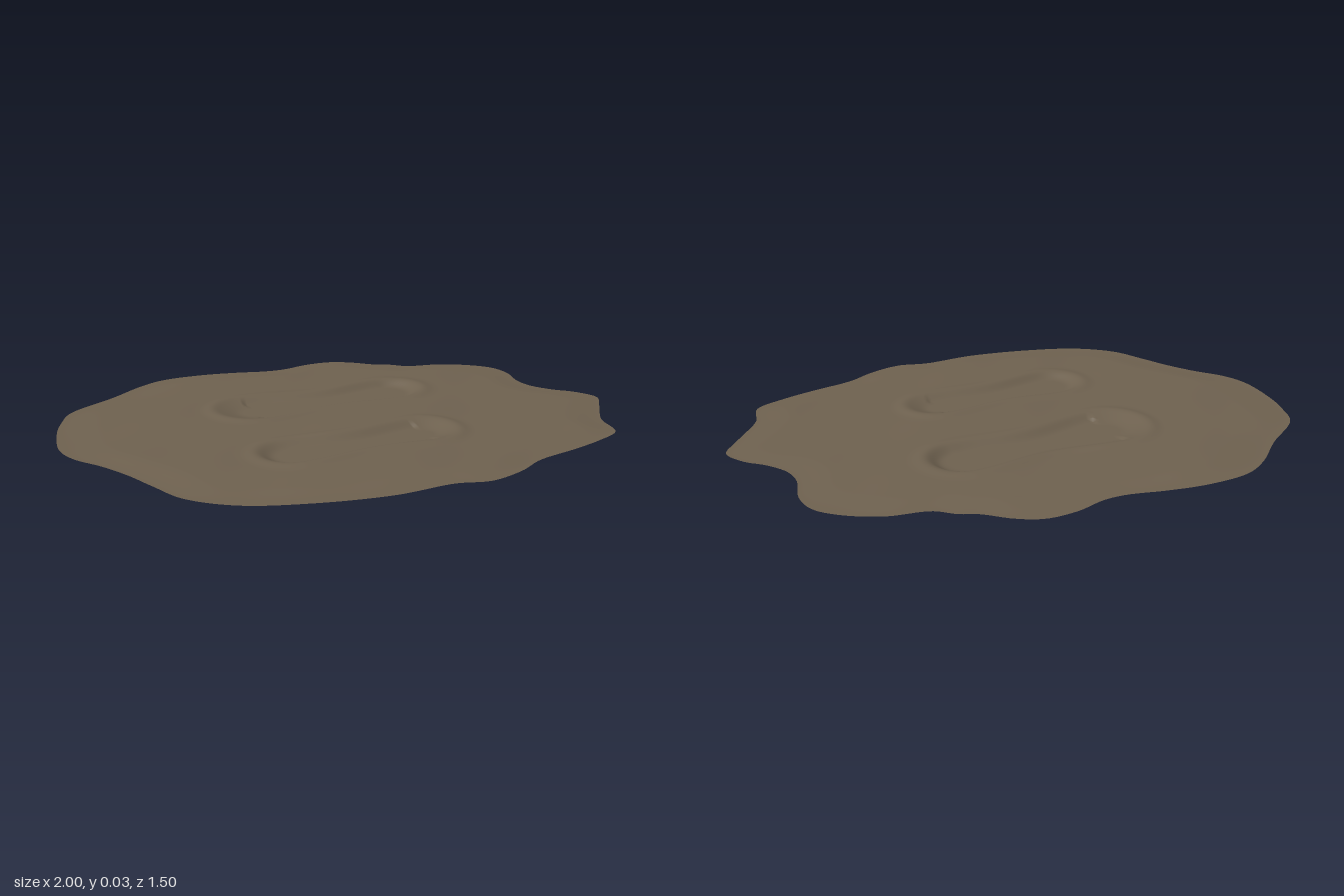
import * as THREE from 'three';

// Outline of the mud patch, as x, z pairs
const OUTLINE = [
  -0.32, -0.75, -0.18, -0.73, -0.05, -0.7, 0.03, -0.7, 0.14, -0.73, 0.25, -0.73,
  0.33, -0.69, 0.41, -0.62, 0.47, -0.59, 0.53, -0.54, 0.67, -0.51, 0.79, -0.44,
  0.85, -0.37, 0.865, -0.28, 0.84, -0.16, 0.85, -0.08, 0.9, 0, 0.96, 0.06,
  1, 0.15, 0.96, 0.22, 0.91, 0.29, 0.845, 0.39, 0.81, 0.515, 0.7, 0.57,
  0.57, 0.61, 0.41, 0.65, 0.3, 0.71, 0.17, 0.745, 0.06, 0.72, -0.15, 0.73,
  -0.4, 0.69, -0.6, 0.62, -0.73, 0.51, -0.79, 0.38, -0.84, 0.26, -0.9, 0.15,
  -0.97, 0.05, -1, -0.05, -0.98, -0.24, -0.95, -0.34, -0.9, -0.445, -0.72, -0.575,
  -0.58, -0.69, -0.48, -0.74,
];

// Two shoe prints: centre line ends, heel and toe radius, waist, wall widths
const PRINTS = [
  { x0: -0.27, x1: 0.3, z0: -0.215, z1: -0.24, r0: 0.155, r1: 0.135, waist: 0.035, wall0: 0.14, wall1: 0.06 },
  { x0: -0.3, x1: 0.2, z0: 0.275, z1: 0.25, r0: 0.13, r1: 0.125, waist: 0.025, wall0: 0.07, wall1: 0.11 },
];

const smooth = THREE.MathUtils.smoothstep;
const lerp = THREE.MathUtils.lerp;

// Ground height: gentle ripples, thin edge, pressed prints with raised rims
function heightAt(x, z, edge) {
  const ripple = 0.0016 * Math.sin(7 * x + 4 * z) + 0.0013 * Math.sin(12 * z - 5 * x + 1)
    + 0.0008 * Math.sin(17 * x + 11 * z + 2);
  const inner = smooth(1 - edge, 0, 0.16);
  let y = lerp(0.012, 0.019, inner) + ripple * inner;
  for (const p of PRINTS) {
    const dx = p.x1 - p.x0, dz = p.z1 - p.z0;
    const t = THREE.MathUtils.clamp(((x - p.x0) * dx + (z - p.z0) * dz) / (dx * dx + dz * dz), 0, 1);
    const radius = lerp(p.r0, p.r1, t) - p.waist * Math.sin(Math.PI * t) ** 2;
    const d = Math.hypot(x - p.x0 - t * dx, z - p.z0 - t * dz) - radius;
    const wall = t > 0 && t < 1 ? 0.065 : lerp(p.wall0, p.wall1, t);
    const press = 1 - smooth(d, -Math.max(0.06, lerp(0.065, wall, 0.6)), -0.012);
    y = lerp(y, 0.002 + ripple * 0.3, press);
    y += 0.006 * Math.exp(-((d / 0.026) ** 2));
  }
  return Math.max(0, y);
}

export function createModel() {
  const mud = new THREE.MeshStandardMaterial({ color: 0x6e614f, side: THREE.DoubleSide });
  mud.name = 'mud brown';

  const corners = [];
  for (let i = 0; i < OUTLINE.length; i += 2) corners.push(new THREE.Vector3(OUTLINE[i], 0, OUTLINE[i + 1]));
  const rim = new THREE.CatmullRomCurve3(corners, true, 'centripetal').getSpacedPoints(240).slice(0, 240);

  // Rings from the centre to the outline
  const rings = 80, n = rim.length;
  const positions = [0, heightAt(0, 0, 0), 0], index = [];
  for (let r = 1; r <= rings; r++) {
    const s = r / rings;
    for (const p of rim) positions.push(p.x * s, heightAt(p.x * s, p.z * s, s), p.z * s);
  }
  for (let i = 0; i < n; i++) {
    const j = (i + 1) % n;
    index.push(0, 1 + j, 1 + i);
    for (let r = 0; r < rings - 1; r++) {
      const a = 1 + r * n + i, b = 1 + r * n + j;
      index.push(a, b, b + n, a, b + n, a + n);
    }
  }
  const geometry = new THREE.BufferGeometry();
  geometry.setAttribute('position', new THREE.Float32BufferAttribute(positions, 3));
  geometry.setIndex(index);
  geometry.computeVertexNormals();

  const ground = new THREE.Mesh(geometry, mud);
  ground.name = 'muddyGroundWithFootprints';
  const group = new THREE.Group();
  group.name = 'footprintsInMud';
  group.add(ground);
  return group;
}
